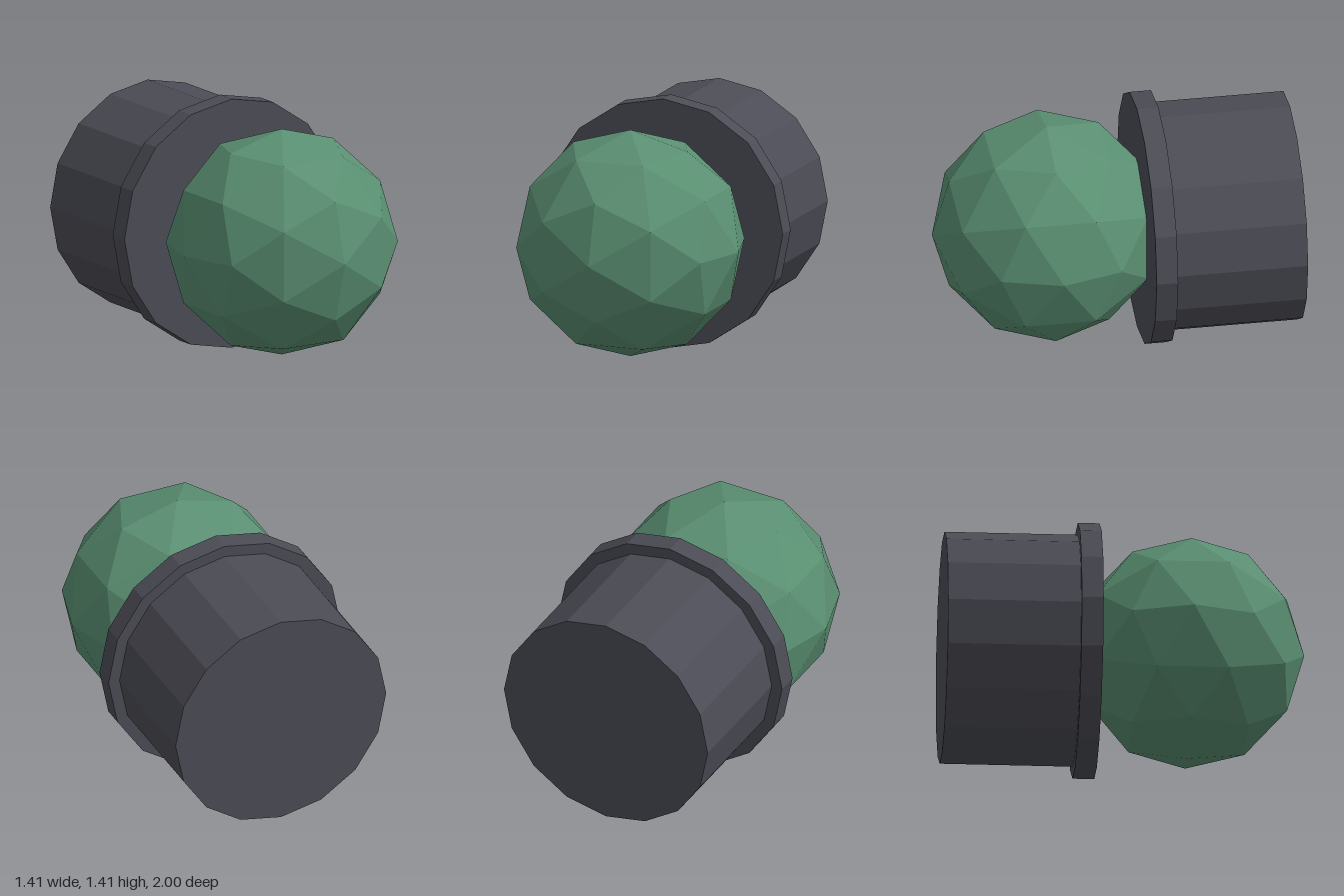
import * as THREE from 'three';

const AXIS_Y = 0.706;

export function createModel() {
  const group = new THREE.Group();
  const green = new THREE.MeshStandardMaterial({ color: 0x5a8f72, flatShading: true });
  const dark = new THREE.MeshStandardMaterial({ color: 0x4b4c55, flatShading: true });

  // 16-sided drum lying along z, between two z positions
  function drum(name, radius, zBack, zFront) {
    const geometry = new THREE.CylinderGeometry(radius, radius, zFront - zBack, 16);
    geometry.rotateX(Math.PI / 2);
    const mesh = new THREE.Mesh(geometry, dark);
    mesh.name = name;
    mesh.position.set(0, AXIS_Y, (zFront + zBack) / 2);
    group.add(mesh);
  }

  // Faceted ball seated in the front of the housing
  const ball = new THREE.Mesh(new THREE.IcosahedronGeometry(0.64, 1), green);
  ball.name = 'ball';
  ball.position.set(0, AXIS_Y, 0.36);
  group.add(ball);

  // Rim around the ball and the housing behind it
  drum('rim', 0.706, -0.265, -0.145);
  drum('housing', 0.64, -1, -0.265);

  return group;
}
